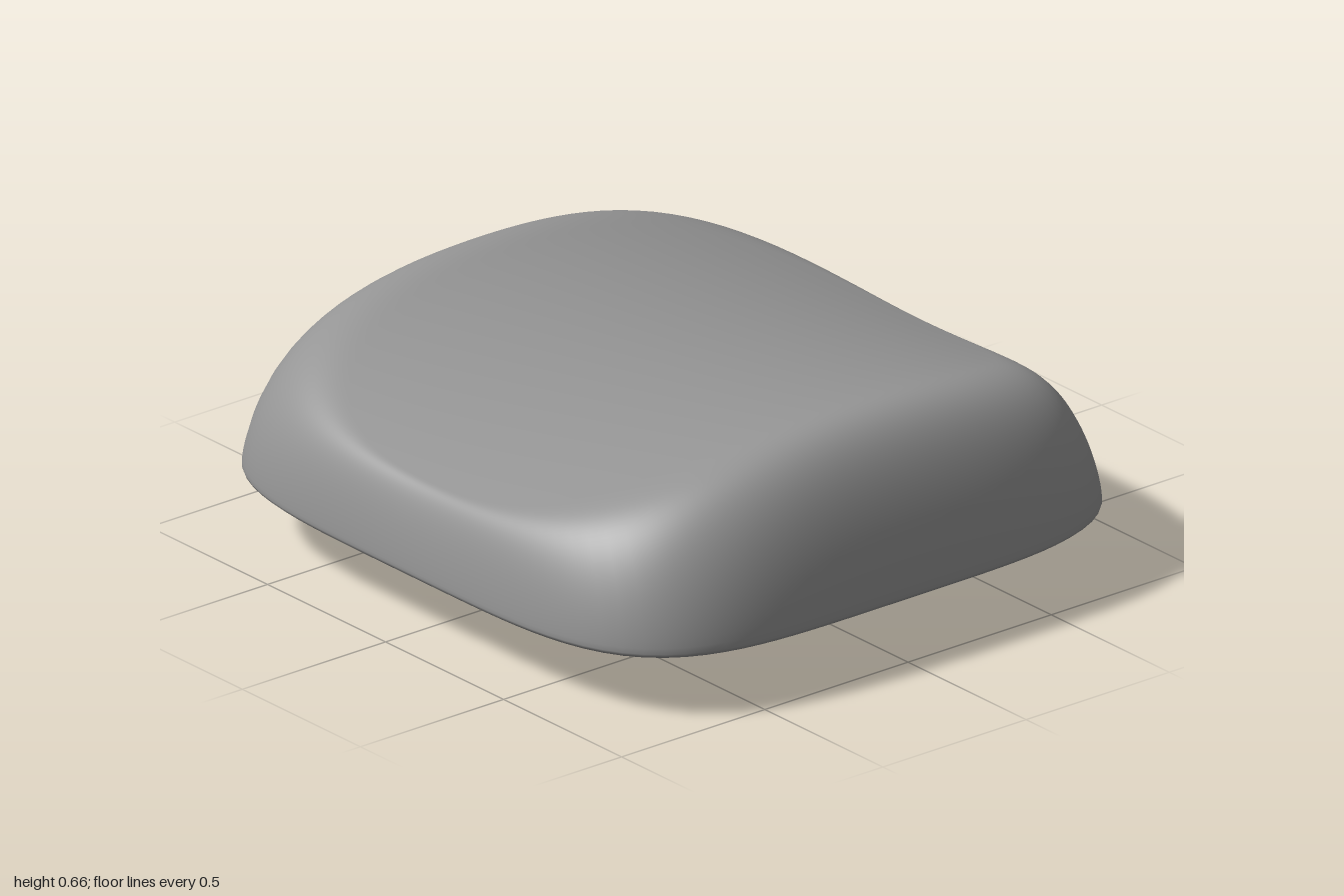
import * as THREE from 'three';

const SEG = 128;      // points around each ring
const BASE_POWER = 4.3; // squareness of the outline at the base
const RIM_POWER = 2.9;  // rounder outline at the dished top
const CEILING = 0.405;

const material = () => new THREE.MeshStandardMaterial({ color: 0x959595 });

// Saddle-shaped top: dished across x, arched along z
const topHeight = (x, z) => 0.573 + 0.16 * x * x - 0.19 * z * z;

// Skins rings of rounded squares; each ring is { sx, sz, power, y(x, z) }
function loft(rings) {
  const positions = [], indices = [];
  rings.forEach(({ sx, sz, power, y }, r) => {
    for (let i = 0; i < SEG; i++) {
      const a = (i / SEG) * Math.PI * 2, c = Math.cos(a), s = Math.sin(a);
      const k = (Math.abs(c) ** power + Math.abs(s) ** power) ** (-1 / power);
      const x = c * k * sx, z = s * k * sz;
      positions.push(x, y(x, z), z);
      if (r === 0) continue;
      const n = (i + 1) % SEG, lo = (r - 1) * SEG, hi = r * SEG;
      indices.push(lo + i, hi + i, lo + n, lo + n, hi + i, hi + n);
    }
  });
  const geometry = new THREE.BufferGeometry();
  geometry.setAttribute('position', new THREE.Float32BufferAttribute(positions, 3));
  geometry.setIndex(indices);
  geometry.computeVertexNormals();
  return geometry;
}

const flatRing = (sx, sz, y) => ({ sx, sz, power: BASE_POWER, y: () => y });

// Inner wall, rounded lip, leaning outer wall, soft shoulder, dished top
function shellRings() {
  const rings = [
    flatRing(0.885, 0.825, CEILING), flatRing(0.906, 0.846, 0.3), flatRing(0.922, 0.862, 0.215),
    flatRing(0.93, 0.87, 0.191), flatRing(0.942, 0.882, 0.181), flatRing(0.956, 0.896, 0.178),
    flatRing(0.975, 0.915, 0.178), flatRing(0.99, 0.93, 0.181), flatRing(0.998, 0.938, 0.188),
  ];
  const wallSteps = 28, topSteps = 20;
  for (let i = 0; i <= wallSteps; i++) {
    const s = (i / wallSteps) ** 1.6;
    const rise = (1 - (1 - s) ** 2.5) ** 0.72;
    rings.push({
      sx: 1 - 0.32 * s, sz: 0.94 - 0.085 * s,
      power: THREE.MathUtils.lerp(BASE_POWER, RIM_POWER, s),
      y: (x, z) => 0.195 + (topHeight(x, z) - 0.195) * rise,
    });
  }
  for (let i = 1; i <= topSteps; i++) {
    const k = Math.max(1 - i / topSteps, 0.0005);
    rings.push({ sx: 0.68 * k, sz: 0.855 * k, power: RIM_POWER, y: topHeight });
  }
  return rings;
}

// Stem outline: a slim block with a shallow channel in each long side
function stemShape(halfW, halfD, groove, halfGroove) {
  const w = halfW, n = halfW - groove, d = halfD, g = halfGroove;
  return new THREE.Shape([
    [-w, -d], [w, -d], [w, -g], [n, -g], [n, g], [w, g],
    [w, d], [-w, d], [-w, g], [-n, g], [-n, -g], [-w, -g],
  ].map(([x, y]) => new THREE.Vector2(x, y)));
}

export function createModel() {
  const group = new THREE.Group();
  const add = (name, geometry, x = 0, y = 0) => {
    const mesh = new THREE.Mesh(geometry, material());
    mesh.name = name;
    mesh.position.set(x, y, 0);
    group.add(mesh);
  };

  add('capShell', loft(shellRings()));
  add('cavityCeiling', loft([flatRing(0.0005, 0.0005, CEILING), flatRing(0.885, 0.825, CEILING)]));

  // Pair of mounting stems, each with a thin collar at the ceiling
  const bevel = 0.015;
  const stem = new THREE.ExtrudeGeometry(stemShape(0.068, 0.165, 0.025, 0.055), {
    depth: CEILING - bevel, bevelEnabled: true, bevelThickness: bevel, bevelSize: bevel,
    bevelOffset: -bevel, bevelSegments: 2,
  }).rotateX(Math.PI / 2);
  const collar = new THREE.ExtrudeGeometry(stemShape(0.079, 0.176, 0.025, 0.044), {
    depth: 0.015, bevelEnabled: false,
  }).rotateX(Math.PI / 2);
  for (const [side, x] of [['left', 0.325], ['right', -0.325]]) {
    add(side + 'Stem', stem, x, CEILING);
    add(side + 'StemCollar', collar, x, CEILING + 0.003);
  }
  return group;
}
